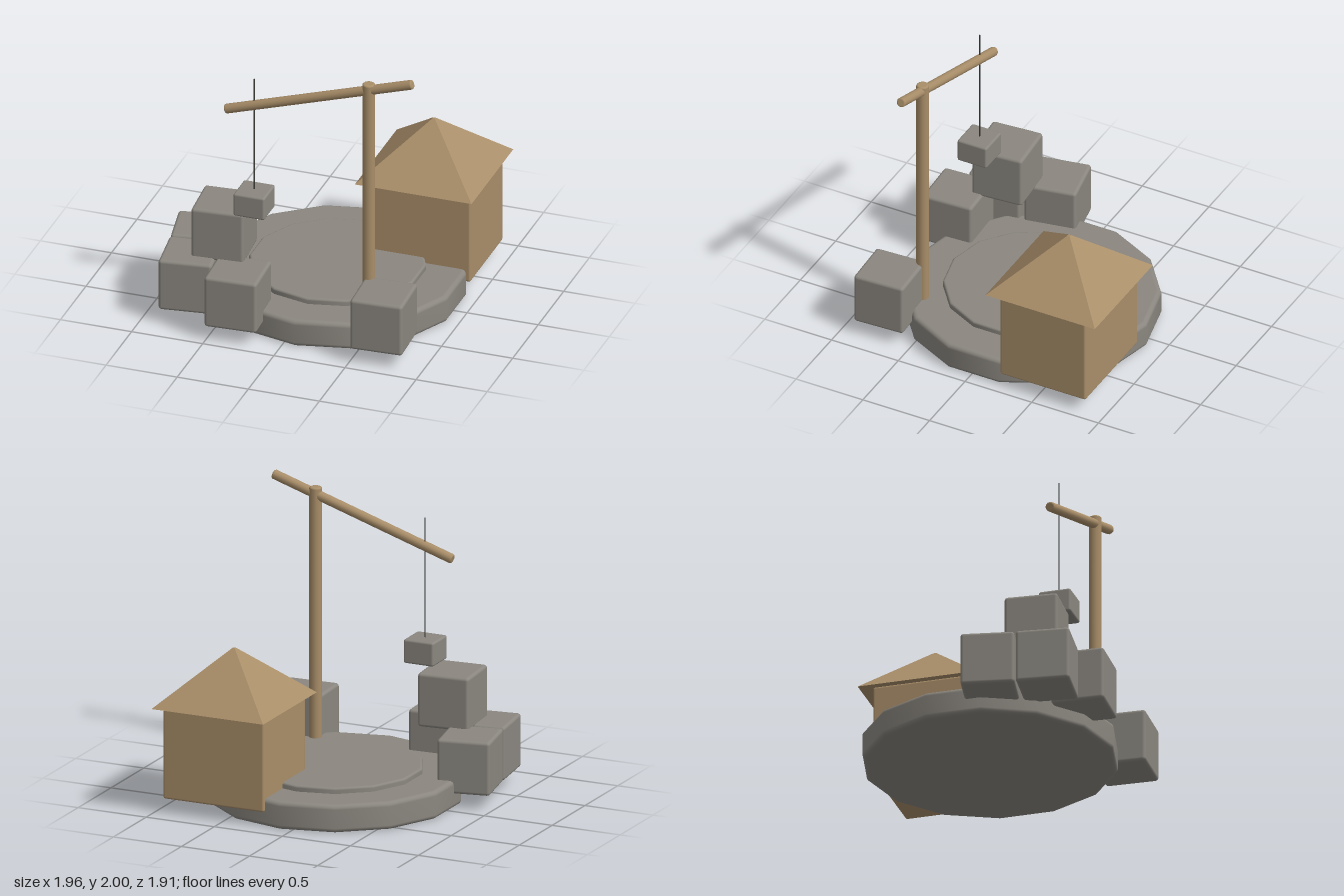
import * as THREE from 'three';
import { RoundedBoxGeometry } from 'three/addons/geometries/RoundedBoxGeometry.js';

export function createModel() {
  const model = new THREE.Group();
  model.name = 'quarryCrane';
  const mat = (name, color) => {
    const m = new THREE.MeshStandardMaterial({ color });
    m.name = name;
    return m;
  };
  const stone = mat('stone grey', 0x8b8780);
  const wood = mat('wood tan', 0xa98e69);
  const ropeDark = mat('rope dark', 0x3a3936);

  const add = (name, geometry, material, x, y, z) => {
    const mesh = new THREE.Mesh(geometry, material);
    mesh.name = name;
    mesh.position.set(x, y, z);
    model.add(mesh);
    return mesh;
  };

  // Closed solid of revolution with rounded rims, standing on y = 0
  const roundedCylinder = (r, h, bevel, sides) => {
    const pts = [new THREE.Vector2(0, 0), new THREE.Vector2(r - bevel - 0.002, 0)];
    const steps = 4;
    for (let i = 0; i <= steps; i++) {
      const a = (i / steps) * Math.PI / 2;
      pts.push(new THREE.Vector2(r - bevel + bevel * Math.sin(a), bevel - bevel * Math.cos(a)));
    }
    for (let i = 0; i <= steps; i++) {
      const a = (i / steps) * Math.PI / 2;
      pts.push(new THREE.Vector2(r - bevel + bevel * Math.cos(a), h - bevel + bevel * Math.sin(a)));
    }
    pts.push(new THREE.Vector2(r - bevel - 0.002, h), new THREE.Vector2(0, h));
    return new THREE.LatheGeometry(pts, sides);
  };

  // Two-step stone platform
  add('platformBase', roundedCylinder(0.855, 0.19, 0.03, 14), stone, 0.085, 0, -0.02);
  add('platformStep', roundedCylinder(0.59, 0.09, 0.015, 14), stone, 0.085, 0.14, -0.015);

  // Hut walls and pyramid roof
  add('hutWalls', new RoundedBoxGeometry(0.74, 0.64, 0.64, 2, 0.015), wood, 0.57, 0.42, -0.55);
  const roof = new THREE.CylinderGeometry(0.014, 0.41 * Math.SQRT2, 0.365, 4, 1)
    .rotateY(Math.PI / 4).toNonIndexed();
  roof.computeVertexNormals();
  add('hutRoof', roof, wood, 0.57, 0.74 + 0.1825, -0.552);

  // Crane mast and tilted boom
  add('craneMast', roundedCylinder(0.043, 1.76, 0.012, 12), wood, 0.515, 0.16, 0.575);
  const start = new THREE.Vector3(-0.492, 1.55, 0.575);
  const along = new THREE.Vector3(0.824, 1.968, 0.575).sub(start);
  const boom = add('craneBoom', roundedCylinder(0.033, along.length(), 0.01, 12), wood, ...start);
  boom.quaternion.setFromUnitVectors(new THREE.Vector3(0, 1, 0), along.normalize());

  // Rope and hanging load
  add('rope', new THREE.CylinderGeometry(0.004, 0.004, 0.85, 8), ropeDark, -0.29, 1.385, 0.575);
  add('hangingBlock', new RoundedBoxGeometry(0.22, 0.165, 0.22, 2, 0.015), stone, -0.29, 0.902, 0.577);

  // Cut stone blocks: x, bottom y, z, turn
  const blocks = [
    [-0.777, 0.1, 0.25, 0.19],
    [-0.72, 0.1, 0.625, 0.13],
    [-0.338, 0.1, 0.762, 0.05],
    [-0.53, 0.45, 0.495, 0.08],
    [0.678, 0.1, 0.735, 0.045],
  ];
  const blockGeometry = new RoundedBoxGeometry(0.362, 0.37, 0.362, 2, 0.022);
  blocks.forEach(([x, y, z, turn], i) => {
    add(`stoneBlock${i + 1}`, blockGeometry, stone, x, y + 0.185, z).rotation.y = turn;
  });

  return model;
}
